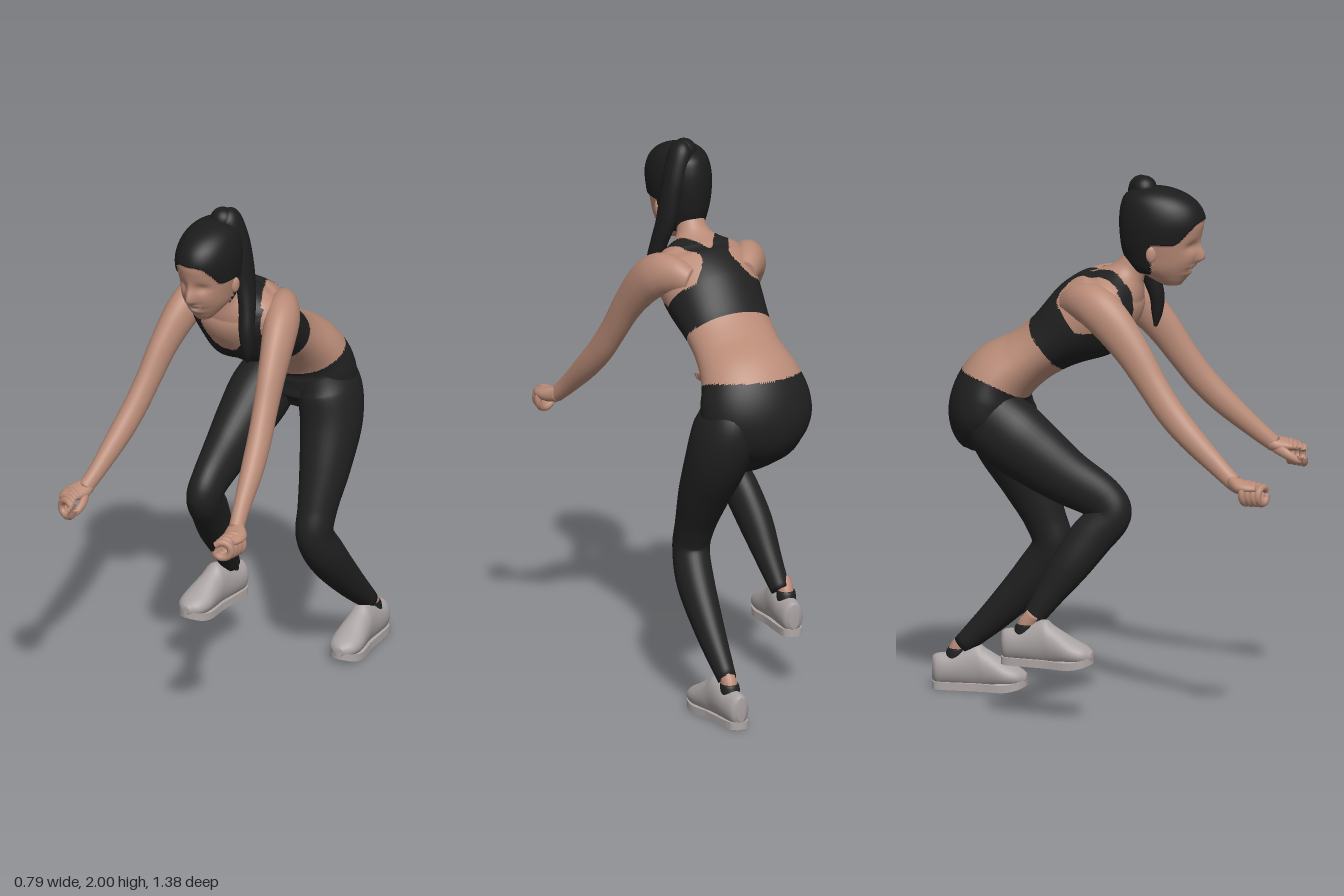
import * as THREE from 'three';

const V = (x, y, z) => new THREE.Vector3(x, y, z);
const mat = (name, color) => Object.assign(new THREE.MeshStandardMaterial({ color }), { name });
const gauss = (d, s) => Math.exp(-(d * d) / (2 * s * s));

// Smooth body through cross-sections [x, y, z, halfWidth, halfDepth].
// dir fixes the section direction, warp moves single vertices.
function loft(sections, { radial = 28, steps = 6, dir = null, warp = null } = {}) {
  const path = new THREE.CatmullRomCurve3(sections.map(s => V(s[0], s[1], s[2])), false, 'catmullrom');
  const size = new THREE.CatmullRomCurve3(sections.map(s => V(s[3], s[4], 0)), false, 'catmullrom');
  const rows = (sections.length - 1) * steps;
  const pos = [], idx = [];
  for (let i = -1; i <= rows + 1; i++) {
    const k = Math.min(Math.max(i / rows, 0), 1);
    const cap = i < 0 || i > rows ? 0 : 1;
    const c = path.getPoint(k), r = size.getPoint(k);
    const t = dir || path.getTangent(k);
    const n = V(1, 0, 0).cross(t).normalize();
    const side = t.clone().cross(n);
    for (let j = 0; j < radial; j++) {
      const a = j / radial * Math.PI * 2;
      const p = c.clone().addScaledVector(side, Math.cos(a) * r.x * cap).addScaledVector(n, Math.sin(a) * r.y * cap);
      if (warp) warp(p);
      pos.push(p.x, p.y, p.z);
    }
  }
  for (let i = 0; i < rows + 2; i++) for (let j = 0; j < radial; j++) {
    const a = i * radial + j, c = i * radial + (j + 1) % radial;
    idx.push(a, a + radial, c, a + radial, c + radial, c);
  }
  const g = new THREE.BufferGeometry();
  g.setAttribute('position', new THREE.Float32BufferAttribute(pos, 3));
  g.setIndex(idx);
  g.computeVertexNormals();
  return g;
}

// Sorts triangles into material groups by a rule on their centres.
function paint(g, count, rule) {
  const bins = Array.from({ length: count }, () => []);
  const P = g.attributes.position, ix = g.index.array, v = V(0, 0, 0);
  for (let i = 0; i < ix.length; i += 3) {
    const c = V(0, 0, 0);
    for (let k = 0; k < 3; k++) c.add(v.fromBufferAttribute(P, ix[i + k]));
    bins[rule(c.divideScalar(3))].push(ix[i], ix[i + 1], ix[i + 2]);
  }
  let start = 0;
  bins.forEach((b, m) => { g.addGroup(start, b.length, m); start += b.length; });
  g.setIndex(bins.flat());
  return g;
}

export function createModel() {
  const skin = mat('skin', 0xb98b77), fabric = mat('black fabric', 0x202021), hair = mat('dark hair', 0x1c1c1d);
  const shoeMat = mat('shoe grey', 0xa9a2a2), soleMat = mat('sole grey', 0xb0a8a7), teeth = mat('teeth', 0xd0bcb2);
  const model = new THREE.Group();
  model.name = 'athlete';
  const add = (name, geo, material, parent = model) => {
    const m = new THREE.Mesh(geo, material);
    m.name = name;
    parent.add(m);
    return m;
  };

  // Torso: leggings top, bare waist, sports top with scoop front and racer back
  const front = p => 0.66 * (p.z + 0.075) - 0.75 * (p.y - 1.46);
  const torsoRule = p => {
    const x = Math.abs(p.x), s = 0.75 * p.z + 0.66 * p.y, f = front(p);
    if (p.y < 1.152 + (-0.27 - p.z) * 0.41 + 0.9 * x * x) return 1;
    if (s < 0.75 - 0.15 * Math.max(0, f)) return 0;
    if (s < 0.9) return 1;
    if (f > 0) {
      const scoop = p.y > 1.4 && x < 0.092 * Math.min(1, ((p.y - 1.4) / 0.1) ** 0.4);
      return !scoop && (p.y < 1.44 || x < 0.145) ? 1 : 0;
    }
    const d = p.z + 0.09;
    const outer = 0.056 + (d > 0 ? 0.46 * d : 12 * d * d), inner = Math.max(0, (p.z + 0.06) * 0.62);
    return x < outer && x >= inner && p.z < 0.13 ? 1 : 0;
  };
  const torso = loft([
    [0, 0.975, -0.385, 0.05, 0.05], [0, 1.01, -0.405, 0.15, 0.12], [0, 1.08, -0.432, 0.207, 0.143],
    [0, 1.16, -0.42, 0.212, 0.142], [0, 1.23, -0.38, 0.192, 0.13], [0, 1.3, -0.29, 0.169, 0.108],
    [0, 1.365, -0.2, 0.166, 0.113], [0, 1.46, -0.075, 0.182, 0.148], [0, 1.54, 0.02, 0.186, 0.136],
    [0, 1.592, 0.06, 0.158, 0.097], [0, 1.64, 0.09, 0.074, 0.062], [0, 1.69, 0.12, 0.052, 0.052],
    [0, 1.77, 0.17, 0.05, 0.05],
  ], {
    radial: 160, steps: 16,
    warp: p => {
      if (front(p) < 0.02) return;
      const k = 0.02 * gauss(V(Math.abs(p.x) - 0.075, p.y - 1.36, p.z - 0.03).length(), 0.055);
      p.add(V(0, -0.6 * k, 0.8 * k));
    },
  });
  add('torso', paint(torso, 2, torsoRule), [skin, fabric]);

  // Head: jaw, brow, nose and lips shaped by soft bumps, hair a little raised
  const isHair = p => p.y > (p.z < 0.19 ? 1.65 : 1.848 - 0.08 * Math.min(1, (Math.abs(p.x) / 0.088) ** 4));
  const headRule = p => {
    if (isHair(p)) return 1;
    return p.z > 0.3 && Math.abs(p.x) < 0.03 && Math.abs(p.y - 1.662 - p.x * p.x * 10) < 0.006 ? 2 : 0;
  };
  const head = loft([
    [0, 1.603, 0.25, 0.03, 0.035], [0, 1.63, 0.235, 0.053, 0.072], [0, 1.67, 0.215, 0.078, 0.115],
    [0, 1.72, 0.212, 0.091, 0.137], [0, 1.78, 0.212, 0.102, 0.147], [0, 1.84, 0.216, 0.106, 0.154],
    [0, 1.89, 0.21, 0.098, 0.143], [0, 1.927, 0.197, 0.08, 0.115], [0, 1.95, 0.188, 0.05, 0.068],
    [0, 1.958, 0.183, 0.012, 0.016],
  ], {
    radial: 96, steps: 12, dir: V(0, 1, 0),
    warp: p => {
      if (isHair(p)) {
        p.addScaledVector(V(p.x, p.y - 1.79, p.z - 0.21).normalize(), 0.007);
        return;
      }
      if (p.z < 0.24) return;
      const x = Math.abs(p.x);
      p.z += 0.03 * gauss(x, 0.011) * gauss(p.y - 1.704, p.y > 1.704 ? 0.03 : 0.011)
        - 0.015 * gauss(x - 0.04, 0.018) * gauss(p.y - 1.755, 0.014)
        + 0.006 * gauss(x, 0.025) * (gauss(p.y - 1.677, 0.005) + gauss(p.y - 1.648, 0.006))
        + 0.005 * gauss(x - 0.05, 0.02) * gauss(p.y - 1.7, 0.02);
    },
  });
  add('head', paint(head, 3, headRule), [skin, hair, teeth]);
  for (const m of [1, -1]) {
    const ear = add('ear', new THREE.SphereGeometry(1, 16, 12), skin);
    ear.scale.set(0.01, 0.03, 0.019);
    ear.position.set(m * 0.097, 1.73, 0.195);
    ear.rotation.y = -m * 0.3;
  }

  // Ponytail falling over the left shoulder
  const knot = add('hair knot', new THREE.SphereGeometry(0.046, 24, 16), hair);
  knot.position.set(0.012, 1.953, 0.145);
  add('ponytail', loft([
    [0.012, 1.98, 0.145, 0.02, 0.022], [0.03, 1.955, 0.135, 0.042, 0.05], [0.055, 1.88, 0.122, 0.045, 0.05],
    [0.078, 1.8, 0.12, 0.038, 0.05], [0.097, 1.7, 0.122, 0.033, 0.045], [0.114, 1.62, 0.14, 0.03, 0.036],
    [0.126, 1.53, 0.165, 0.028, 0.028], [0.13, 1.46, 0.165, 0.021, 0.02], [0.126, 1.41, 0.16, 0.006, 0.006],
  ]), hair);

  // Arms with curled hands
  for (const m of [1, -1]) {
    const arm = new THREE.Group();
    arm.name = m > 0 ? 'leftArm' : 'rightArm';
    model.add(arm);
    const flip = list => list.map(([x, ...rest]) => [x * m, ...rest]);
    add('arm', loft(flip([
      [0.105, 1.535, -0.11, 0.045, 0.05], [0.15, 1.55, -0.05, 0.058, 0.072], [0.183, 1.54, 0.01, 0.064, 0.08],
      [0.208, 1.49, 0.075, 0.058, 0.077],
      [0.232, 1.39, 0.16, 0.048, 0.065], [0.25, 1.28, 0.235, 0.043, 0.056], [0.267, 1.185, 0.305, 0.042, 0.053],
      [0.285, 1.1, 0.385, 0.04, 0.048], [0.308, 1.0, 0.495, 0.03, 0.036], [0.325, 0.945, 0.56, 0.027, 0.03],
    ]), { radial: 32, steps: 8 }), skin, arm);
    add('palm', loft(flip([
      [0.322, 0.952, 0.54, 0.027, 0.03], [0.338, 0.942, 0.575, 0.044, 0.029], [0.347, 0.94, 0.612, 0.042, 0.022],
      [0.347, 0.938, 0.65, 0.03, 0.016],
    ]), { dir: V(0, 0, 1) }), skin, arm);
    // Fingers curl into an open ring, slanted and narrowing forwards
    for (let f = 0; f < 4; f++) {
      const pts = [], r = 0.036 - f * 0.002;
      for (let k = 0; k <= 8; k++) {
        const a = 2.5 - k / 8 * 5.6, dx = r * Math.cos(a);
        pts.push(V(m * (0.345 - f * 0.004 + dx), 0.917 - f * 0.003 + r * Math.sin(a), 0.612 + f * 0.018 - dx * 0.35));
      }
      add('finger', new THREE.TubeGeometry(new THREE.CatmullRomCurve3(pts), 28, 0.0135, 10), skin, arm);
    }
    add('thumb', loft(flip([
      [0.315, 0.935, 0.565, 0.015, 0.02], [0.3, 0.915, 0.61, 0.014, 0.018], [0.304, 0.895, 0.645, 0.013, 0.014],
      [0.316, 0.884, 0.672, 0.008, 0.008],
    ]), { radial: 14 }), skin, arm);
  }

  // Legs in leggings
  add('leftLeg', loft([
    [0.1, 1.15, -0.415, 0.09, 0.115], [0.122, 1.06, -0.42, 0.112, 0.136], [0.143, 0.95, -0.395, 0.111, 0.126],
    [0.16, 0.8, -0.325, 0.093, 0.1], [0.167, 0.66, -0.262, 0.072, 0.078], [0.17, 0.56, -0.237, 0.067, 0.075],
    [0.182, 0.45, -0.3, 0.067, 0.078], [0.188, 0.3, -0.435, 0.053, 0.06], [0.19, 0.162, -0.578, 0.034, 0.037],
  ], { radial: 36, steps: 8 }), fabric);
  add('rightLeg', loft([
    [-0.1, 1.11, -0.43, 0.1, 0.125], [-0.115, 1.03, -0.32, 0.112, 0.135], [-0.122, 0.96, -0.22, 0.1, 0.122],
    [-0.125, 0.89, -0.115, 0.083, 0.104], [-0.12, 0.815, 0.015, 0.066, 0.084], [-0.125, 0.755, 0.05, 0.063, 0.076],
    [-0.145, 0.67, -0.02, 0.062, 0.08], [-0.165, 0.57, -0.09, 0.06, 0.072], [-0.178, 0.46, -0.165, 0.048, 0.053],
    [-0.192, 0.352, -0.238, 0.035, 0.037],
  ], { radial: 36, steps: 8 }), fabric);

  // Feet: ankle, sock, shoe and sole; origin under the heel
  const half = [[0.018, 0.002], [0.038, 0.025], [0.044, 0.1], [0.047, 0.18], [0.059, 0.265], [0.048, 0.32], [0.016, 0.347]];
  const outline = [...half, ...half.map(([x, z]) => [-x, z]).reverse()].map(([x, z]) => new THREE.Vector2(x, z));
  outline.push(outline[0].clone());
  const lift = z => 0.022 * Math.max(0, (z - 0.25) / 0.1) ** 2;
  for (const [name, x, y, z, yaw] of [['leftFoot', 0.185, 0, -0.687, 0.06], ['rightFoot', -0.2, 0.2, -0.338, -0.1]]) {
    const foot = new THREE.Group();
    foot.name = name;
    foot.position.set(x, y, z);
    foot.rotation.y = yaw;
    model.add(foot);
    add('shoe', loft([
      [0, 0.075, 0, 0.018, 0.045], [0, 0.07, 0.02, 0.039, 0.06], [0, 0.075, 0.075, 0.047, 0.064],
      [0, 0.09, 0.16, 0.048, 0.083], [0, 0.078, 0.2, 0.052, 0.073], [0, 0.06, 0.27, 0.061, 0.05],
      [0, 0.052, 0.32, 0.05, 0.034], [0, 0.048, 0.349, 0.018, 0.018],
    ], { dir: V(0, 0, 1) }), shoeMat, foot);
    const sole = new THREE.ExtrudeGeometry(new THREE.Shape().setFromPoints(new THREE.SplineCurve(outline).getPoints(70)),
      { depth: 0.028, bevelEnabled: false });
    sole.rotateX(Math.PI / 2).translate(0, 0.028, 0);
    const P = sole.attributes.position;
    for (let i = 0; i < P.count; i++) P.setY(i, P.getY(i) + lift(P.getZ(i)));
    sole.computeVertexNormals();
    add('sole', sole, soleMat, foot);
    add('sock', loft([[0, 0.1, 0.08, 0.036, 0.039], [0, 0.14, 0.088, 0.035, 0.037], [0, 0.152, 0.092, 0.033, 0.034]],
      { dir: V(0, 1, 0) }), fabric, foot);
    add('ankle', loft([[0, 0.12, 0.083, 0.03, 0.032], [0, 0.155, 0.096, 0.029, 0.031], [0, 0.19, 0.12, 0.026, 0.026]]),
      skin, foot);
  }
  return model;
}
